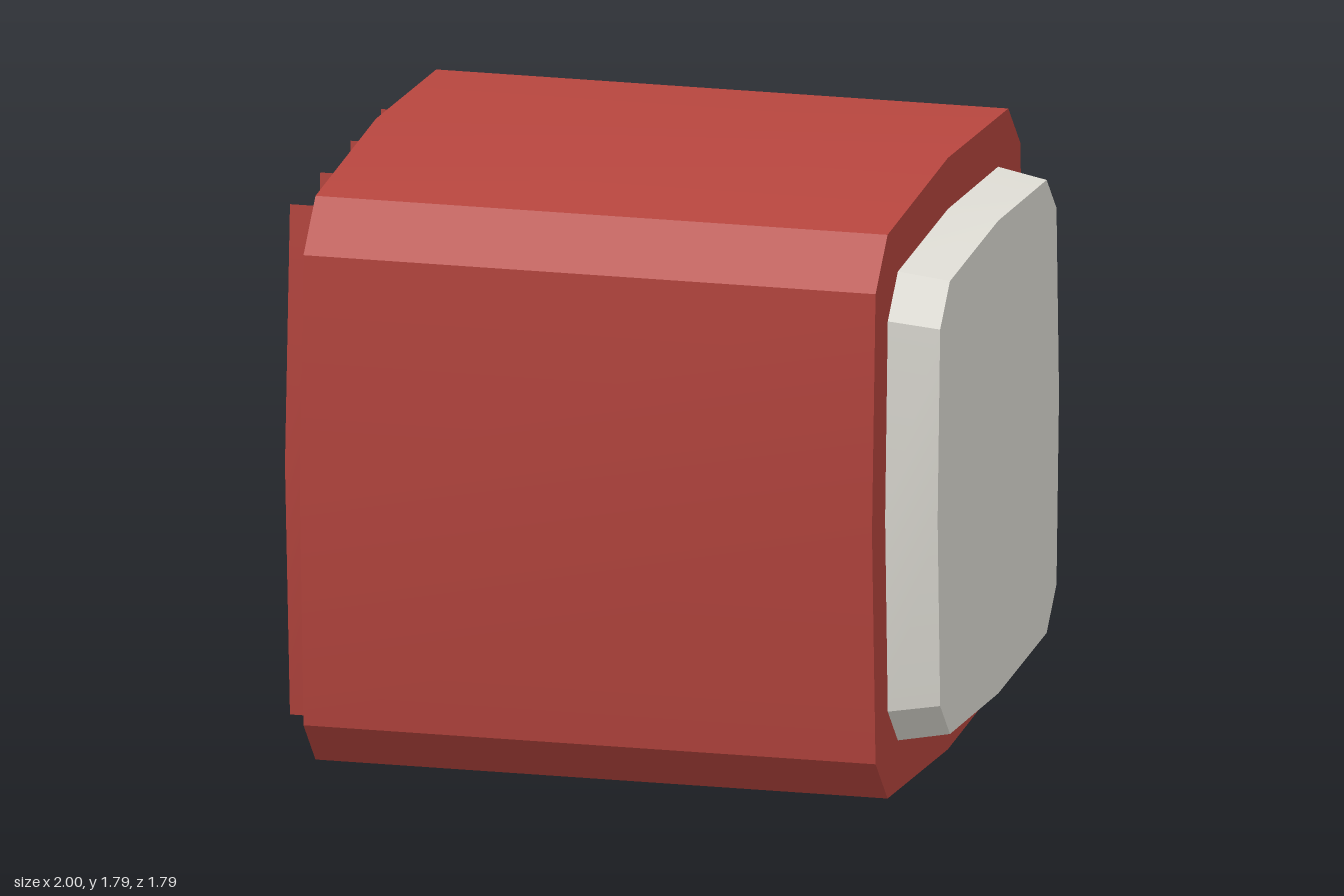
import * as THREE from 'three';
import { toCreasedNormals } from 'three/addons/utils/BufferGeometryUtils.js';

const CY = 0.897; // height of the cabinet's centre

// Loop of [z, y] points for a square with bulging sides and cut corners
function bulgedSquare(mid, long, short) {
  const pts = [];
  for (let k = 0; k < 4; k++) {
    const c = Math.round(Math.cos(k * Math.PI / 2));
    const s = Math.round(Math.sin(k * Math.PI / 2));
    for (const [a, b] of [[long, -short], [mid, 0], [long, short]]) {
      pts.push([a * c - b * s, a * s + b * c]);
    }
  }
  return pts;
}

// Closed solid between loop a at x0 and loop b at x1 (x0 < x1), soft along the gentle bulges
function loft(a, x0, b, x1) {
  const pos = [];
  const n = a.length;
  const P = (p, x) => [x, p[1], p[0]];
  for (let i = 0; i < n; i++) {
    const j = (i + 1) % n;
    const a0 = P(a[i], x0), a1 = P(a[j], x0), b0 = P(b[i], x1), b1 = P(b[j], x1);
    pos.push(...a0, ...b0, ...b1, ...a0, ...b1, ...a1); // side
    pos.push(x1, 0, 0, ...b1, ...b0);                   // +x cap
    pos.push(x0, 0, 0, ...a0, ...a1);                   // -x cap
  }
  const g = new THREE.BufferGeometry();
  g.setAttribute('position', new THREE.Float32BufferAttribute(pos, 3));
  return toCreasedNormals(g, 0.5);
}

export function createModel() {
  const red = new THREE.MeshStandardMaterial({ name: 'cabinetRed', color: 0xb8463f });
  const grey = new THREE.MeshStandardMaterial({ name: 'screenGrey', color: 0xe5e3db });
  const group = new THREE.Group();
  group.name = 'televisionSet';

  const add = (name, geometry, material, z = 0) => {
    const mesh = new THREE.Mesh(geometry, material);
    mesh.name = name;
    mesh.position.set(0, CY, z);
    group.add(mesh);
  };

  // Cabinet
  const outline = bulgedSquare(0.897, 0.855, 0.713);
  add('cabinet', loft(outline, -0.878, outline, 0.848), red);

  // Tapered screen on the +x side
  add('screen', loft(bulgedSquare(0.742, 0.711, 0.592), 0.848, bulgedSquare(0.717, 0.687, 0.571), 1), grey);

  // Diamond-shaped vent fins on the -x side
  const diamond = [[0.059, 0], [0, 0.774], [-0.059, 0], [0, -0.774]];
  for (let i = 0; i < 4; i++) {
    add('ventFin' + (i + 1), loft(diamond, -1, diamond, -0.878), red, (i - 1.5) * 0.358);
  }
  return group;
}
